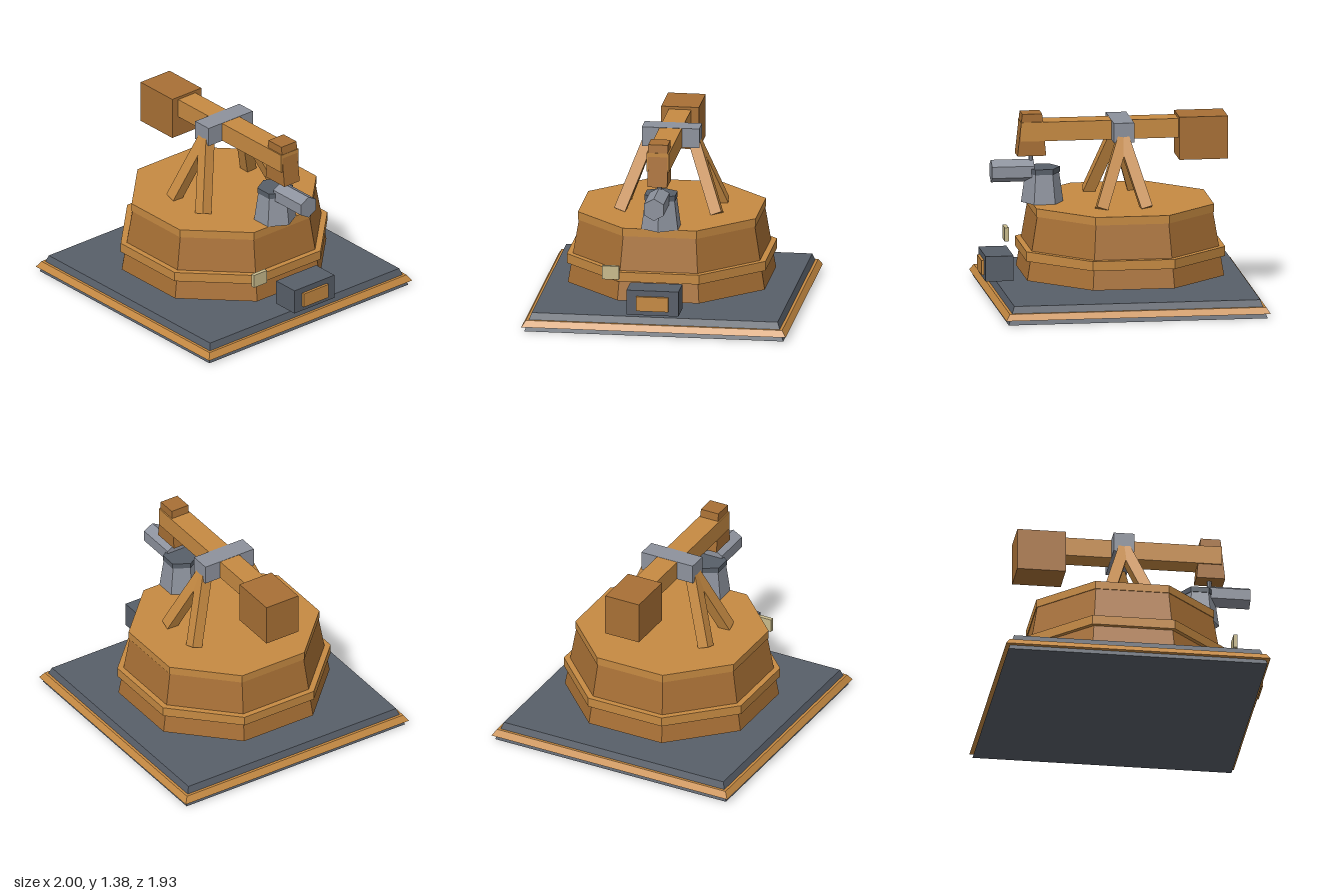
import * as THREE from 'three';

const paint = (name, color) => {
  const m = new THREE.MeshStandardMaterial({ color });
  m.name = name;
  return m;
};

export function createModel() {
  const group = new THREE.Group();
  const orange = paint('ochre wood', 0xc68a42);
  const brown = paint('brown wood', 0xa87035);
  const steel = paint('light steel', 0x8d929d);
  const slate = paint('dark slate', 0x585f69);
  const cream = paint('cream', 0xc9bb8c);
  const CX = -0.03; // centre of the base and the drum

  const add = (name, geometry, material) => {
    const flat = geometry.index ? geometry.toNonIndexed() : geometry;
    flat.computeVertexNormals(); // faceted look
    const mesh = new THREE.Mesh(flat, material);
    mesh.name = name;
    group.add(mesh);
    return mesh;
  };

  // box from its minimum and maximum corners
  const box = (name, material, x0, x1, y0, y1, z0, z1) =>
    add(name, new THREE.BoxGeometry(x1 - x0, y1 - y0, z1 - z0)
      .translate((x0 + x1) / 2, (y0 + y1) / 2, (z0 + z1) / 2), material);

  // upright tapered prism with a flat side to the front, sized by its half widths
  const prism = (name, material, sides, x, y0, y1, bottom, top) => {
    const k = 1 / Math.cos(Math.PI / sides);
    return add(name, new THREE.CylinderGeometry(top * k, bottom * k, y1 - y0, sides)
      .rotateY(Math.PI / sides).translate(x, (y0 + y1) / 2, 0), material);
  };

  // square base with a trim around it
  prism('base', slate, 4, CX, 0, 0.13, 0.947, 0.90);
  prism('baseTrim', orange, 4, CX, 0.035, 0.08, 0.967, 0.938);

  // eight-sided drum with a band and a cap
  prism('drum', brown, 8, CX, 0.195, 0.665, 0.72, 0.643);
  prism('drumBand', orange, 8, CX, 0.34, 0.41, 0.727, 0.727);
  prism('drumCap', orange, 8, CX, 0.66, 0.72, 0.65, 0.65);

  // four splayed legs meeting under the pivot
  const up = new THREE.Vector3(0, 1, 0);
  for (const side of [-1, 1]) {
    for (const footX of [-0.175, 0.155]) {
      const foot = new THREE.Vector3(footX, 0.72, side * 0.355);
      const head = new THREE.Vector3(-0.027, 1.21, side * 0.168);
      const along = head.clone().sub(foot);
      const leg = add('leg', new THREE.BoxGeometry(0.084, along.length(), 0.084), orange);
      leg.position.copy(foot).add(head).multiplyScalar(0.5);
      leg.quaternion.setFromUnitVectors(up, along.normalize());
    }
  }

  // pivot block, beam and counterweight
  box('pivotBlock', steel, -0.105, 0.045, 1.178, 1.322, -0.21, 0.21);
  box('beam', orange, -0.45, 0.705, 1.18, 1.32, -0.082, 0.082);
  box('counterweight', brown, -0.80, -0.445, 1.025, 1.34, -0.138, 0.138);

  // hammer head, wider at the bottom
  const outline = new THREE.Shape([[0.52, 1.07], [0.73, 1.07], [0.695, 1.38], [0.55, 1.38]]
    .map(([x, y]) => new THREE.Vector2(x, y)));
  add('hammerHead', new THREE.ExtrudeGeometry(outline, { depth: 0.144, bevelEnabled: false })
    .translate(0, 0, -0.072), brown);
  add('hammerPin', new THREE.CylinderGeometry(0.018, 0.018, 0.16, 8).translate(0.623, 1.01, 0), steel);

  // six-sided anvil stand with a dark cap and a horn
  prism('anvilStand', steel, 6, 0.54, 0.72, 0.94, 0.134, 0.107);
  prism('anvilCap', slate, 6, 0.54, 0.935, 0.975, 0.113, 0.113);
  add('anvilHorn', new THREE.CylinderGeometry(0.083, 0.083, 0.31, 6)
    .rotateY(Math.PI / 6).rotateZ(Math.PI / 2).translate(0.76, 0.953, 0), steel);

  // side box with its panel, and a small plaque
  box('sideBox', slate, 0.775, 0.98, 0.175, 0.36, -0.19, 0.19);
  box('sidePanel', orange, 0.97, 1.0, 0.21, 0.317, -0.117, 0.117);
  box('plaque', cream, 0.745, 0.775, 0.375, 0.475, 0.275, 0.40);

  return group;
}
